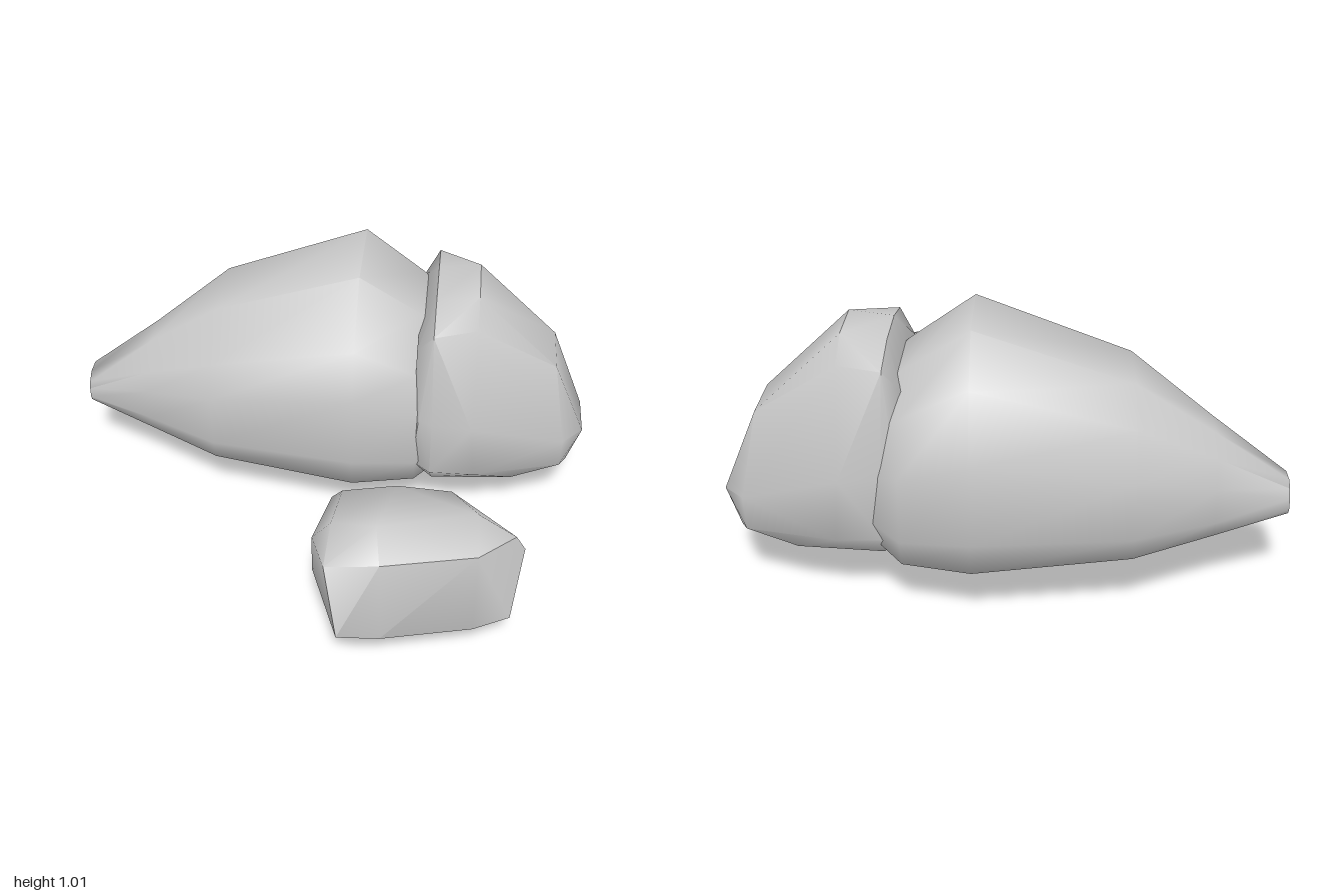
import * as THREE from 'three';
import { toCreasedNormals } from 'three/addons/utils/BufferGeometryUtils.js';
import { ConvexGeometry } from 'three/addons/geometries/ConvexGeometry.js';

const material = new THREE.MeshStandardMaterial({ color: 0xcccccc, roughness: 0.9 });

// Skin a unit outline (u across z, v up y) through sections [x, yMin, yMax, zMid, zHalf].
function loft(outline, sections) {
  const n = outline.length;
  const pos = [];
  const index = [];
  for (const [x, y0, y1, zMid, half] of sections) {
    for (const [u, v] of outline) pos.push(x, y0 + (y1 - y0) * v, zMid + half * u);
  }
  for (let i = 0; i < sections.length - 1; i++) {
    for (let j = 0; j < n; j++) {
      const a = i * n + j;
      const b = i * n + (j + 1) % n;
      index.push(a, b, a + n, b, b + n, a + n);
    }
  }
  // end caps
  const last = (sections.length - 1) * n;
  for (let j = 1; j < n - 1; j++) {
    index.push(0, j + 1, j, last, last + j, last + j + 1);
  }
  const geo = new THREE.BufferGeometry();
  geo.setAttribute('position', new THREE.Float32BufferAttribute(pos, 3));
  geo.setIndex(index);
  return geo;
}

const hull = (points) => new ConvexGeometry(points.map((p) => new THREE.Vector3(...p)));

function rock(name, geometry, crease) {
  const mesh = new THREE.Mesh(toCreasedNormals(geometry, crease), material);
  mesh.name = name;
  return mesh;
}

export function createModel() {
  const group = new THREE.Group();
  group.name = 'rocks';

  // Long boulder tapering to the right
  const largeOutline = [
    [0.4, 1], [0.88, 0.77], [1, 0.56], [1, 0.23], [0.86, 0.06], [0.42, 0],
    [-0.42, 0], [-0.82, 0.06], [-1, 0.23], [-1, 0.56], [-0.82, 0.83], [-0.44, 1],
  ];
  group.add(rock('largeRock', loft(largeOutline, [
    [-1, 0.28, 0.405, -0.4, 0.08],
    [-0.73, 0.215, 0.6, -0.395, 0.185],
    [-0.44, 0.19, 0.815, -0.4, 0.365],
    [0.11, 0.14, 1.01, -0.395, 0.438],
    [0.35, 0.15, 0.85, -0.39, 0.37],
    [0.5, 0.25, 0.7, -0.38, 0.25],
  ]), 1.1));

  // Wedge-shaped boulder at the left end: [x, y, half width], mirrored about its middle
  const wedgeHalf = [
    // ridge and shoulders
    [0.4, 0.93, 0.12], [0.56, 0.95, 0.12], [0.4, 0.89, 0.32], [0.56, 0.88, 0.24],
    [0.34, 0.8, 0.27], [0.87, 0.66, 0.12],
    // widest rim, dropping to the tip
    [0.36, 0.53, 0.34], [0.41, 0.52, 0.355], [0.56, 0.5, 0.345], [0.92, 0.36, 0.195], [1, 0.35, 0.095],
    // underside
    [0.34, 0.3, 0.3], [0.41, 0.27, 0.325], [0.58, 0.26, 0.31], [0.92, 0.22, 0.16],
    [0.95, 0.2, 0.09], [0.42, 0.18, 0.24], [0.73, 0.18, 0.21],
  ];
  group.add(rock('wedgeRock', hull(
    wedgeHalf.flatMap(([x, y, h]) => [[x, y, -0.345 + h], [x, y, -0.345 - h]]),
  ), 0.75));

  // Small separate rock in front, sloping down toward the back
  group.add(rock('smallRock', hull([
    // back tip
    [0.31, 0.18, 0.04], [0.4, 0.18, 0.06], [0.29, 0.07, 0.08], [0.39, 0.07, 0.09],
    [0.11, 0.22, 0.11], [0.05, 0.28, 0.18], [0.63, 0.21, 0.27],
    // top
    [0.1, 0.4, 0.28], [0.3, 0.44, 0.28], [0.5, 0.43, 0.28], [0.6, 0.54, 0.53],
    [0.25, 0.57, 0.66], [0.09, 0.535, 0.62], [0.73, 0.48, 0.56],
    // front face and left corner
    [0.08, 0.47, 0.77], [0.27, 0.505, 0.785], [0.6, 0.49, 0.69], [0.765, 0.41, 0.54],
    [0.13, 0.2, 0.83], [0.28, 0.2, 0.82], [0.6, 0.17, 0.71], [0.73, 0.16, 0.63],
    // right side and underside
    [0.02, 0.43, 0.58], [0.02, 0.28, 0.58], [0.05, 0.15, 0.5], [0.05, 0.16, 0.25],
    [0.15, 0.05, 0.55], [0.21, 0.08, 0.7], [0.61, 0.075, 0.55], [0.35, 0, 0.31], [0.21, 0.015, 0.31],
  ]), 0.95));

  return group;
}
